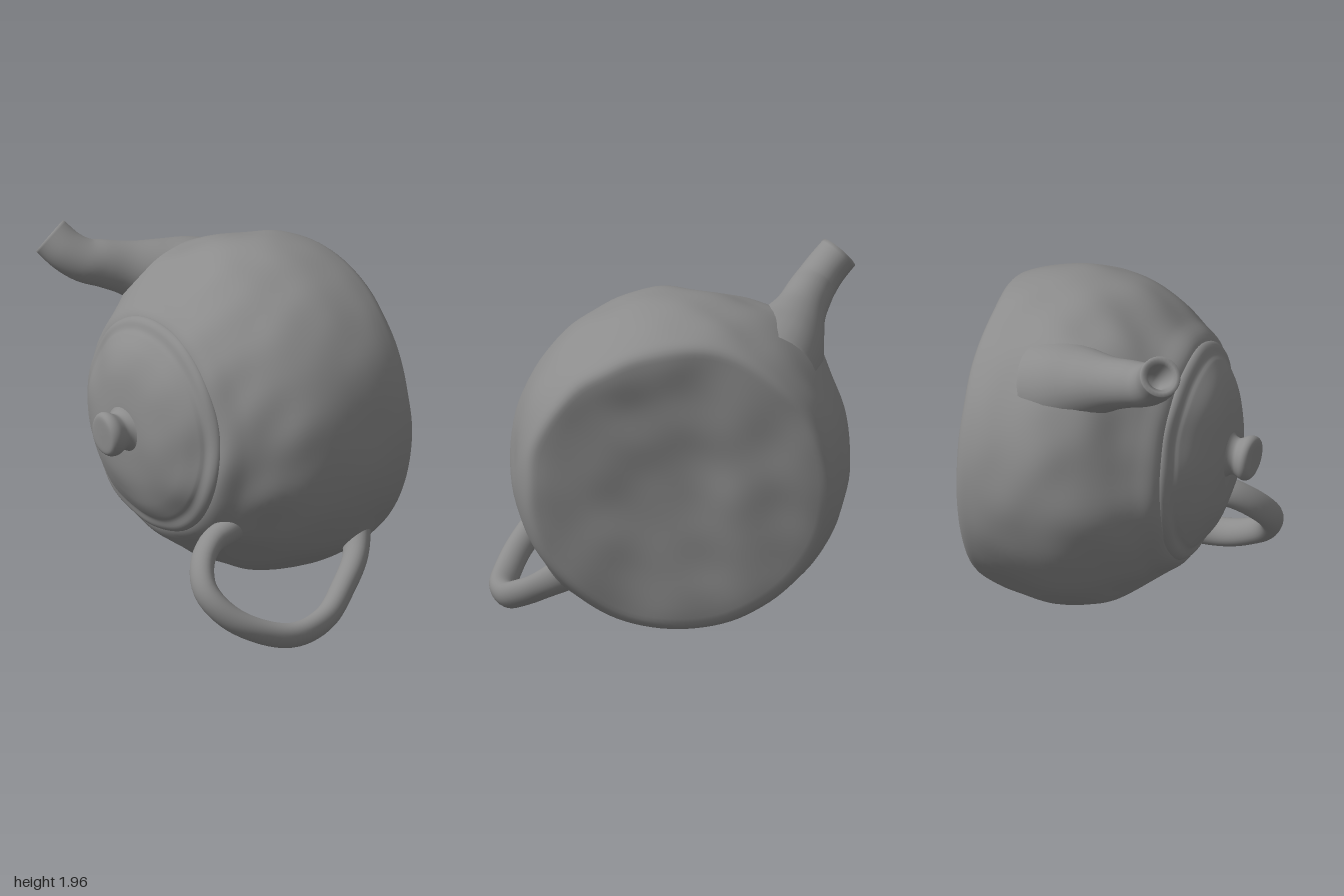
import * as THREE from 'three';
import { mergeVertices } from 'three/addons/utils/BufferGeometryUtils.js';

const clay = new THREE.MeshStandardMaterial({ color: 0x8c8c8c, side: THREE.DoubleSide });

// Gentle hand-made unevenness: seeded waves running in many directions
let seed = 7;
const random = () => (seed = (seed * 16807) % 2147483647) / 2147483647;
const waves = Array.from({ length: 36 }, (_, i) => {
  const direction = new THREE.Vector3(random() - 0.5, random() - 0.5, random() - 0.5);
  return { direction: direction.setLength(6 + i * 0.6), phase: random() * 6.28, size: 1.6 / (6 + i * 0.6) };
});
const lumps = (v) => waves.reduce((s, w) => s + w.size * Math.sin(w.direction.dot(v) + w.phase), 0);

const v2 = (list) => list.map(([r, h]) => new THREE.Vector2(r, h));
const v3 = (list) => list.map((p) => new THREE.Vector3(...p));

// Places where the body swells to meet spout and handle: point, height, reach
const joints = [
  [new THREE.Vector3(-0.62, 1.62, 0), 0.055, 0.24],
  [new THREE.Vector3(0.5, 0.53, 0.3), 0.02, 0.1],
  [new THREE.Vector3(0.63, 0.38, -0.47), 0.02, 0.1],
];

// Weld seams, apply a vertex rule, then smooth
function finish(geometry, name, rule) {
  geometry.deleteAttribute('uv');
  geometry.deleteAttribute('normal');
  const g = mergeVertices(geometry, 1e-4);
  const p = g.attributes.position;
  const v = new THREE.Vector3();
  for (let i = 0; i < p.count; i++) {
    rule(v.fromBufferAttribute(p, i));
    p.setXYZ(i, v.x, v.y, v.z);
  }
  g.computeVertexNormals();
  const mesh = new THREE.Mesh(g, clay);
  mesh.name = name;
  return mesh;
}

// Turned part around the z axis, with a slightly leaning centre line
function turned(name, profile, steps, amount, swellings = []) {
  const points = new THREE.SplineCurve(v2(profile)).getSpacedPoints(steps);
  points.forEach((p) => { p.x = Math.max(0, p.x); });
  const g = new THREE.LatheGeometry(points, 112);
  g.rotateX(Math.PI / 2);
  return finish(g, name, (v) => {
    const k = lumps(v) * amount;
    const outward = new THREE.Vector3(v.x, v.y, 0).normalize();
    v.x *= 1 + k;
    v.y *= 1 + k;
    v.z += k;
    v.x += -0.025 - 0.03 * (v.z + 0.4);
    v.y += 1.02 + 0.02 * (v.z + 0.4);
    for (const [centre, height, reach] of swellings) {
      const d = v.distanceTo(centre) / reach;
      v.addScaledVector(outward, height * Math.exp(-d * d));
    }
  });
}

// Round sweep along a path; a bore depth hollows out the far end
function sweep(name, path, radii, bore, rule) {
  const steps = 56, sides = 28;
  const curve = new THREE.CatmullRomCurve3(v3(path));
  const frames = curve.computeFrenetFrames(steps);
  const radiusAt = new THREE.SplineCurve(radii.map((r, i) => new THREE.Vector2(i, r)));
  const rings = [];
  for (let i = 0; i <= steps; i++) rings.push([i, radiusAt.getPoint(i / steps).y]);
  if (bore) {
    const r = radii[radii.length - 1];
    rings.push([steps, r * 0.8], [steps - 1, r * 0.62], [steps - bore, r * 0.45], [steps - bore, 0]);
  }
  const position = [], index = [];
  rings.forEach(([i, r], k) => {
    const c = curve.getPointAt(i / steps);
    for (let j = 0; j < sides; j++) {
      const a = (j / sides) * Math.PI * 2;
      const p = c.clone()
        .addScaledVector(frames.normals[i], Math.cos(a) * r)
        .addScaledVector(frames.binormals[i], Math.sin(a) * r);
      position.push(p.x, p.y, p.z);
      if (k === 0) continue;
      const n = (j + 1) % sides, low = (k - 1) * sides, up = k * sides;
      index.push(low + j, low + n, up + j, low + n, up + n, up + j);
    }
  });
  const g = new THREE.BufferGeometry();
  g.setAttribute('position', new THREE.Float32BufferAttribute(position, 3));
  g.setIndex(index);
  return finish(g, name, (v) => {
    rule(v);
    v.addScalar(lumps(v) * 0.005);
  });
}

export function createModel() {
  const model = new THREE.Group();
  model.name = 'teapot';

  // Pot body with its broad base facing -z
  model.add(turned('body', [
    [0, -0.69], [0.25, -0.69], [0.5, -0.692], [0.74, -0.698], [0.815, -0.68],
    [0.858, -0.6], [0.89, -0.48], [0.915, -0.3], [0.908, -0.15], [0.87, 0], [0.803, 0.13],
    [0.698, 0.28], [0.595, 0.395], [0.4, 0.405], [0, 0.405],
  ], 120, 0.013, joints));

  // Domed lid with a soft rim band
  model.add(turned('lid', [
    [0.56, 0.36], [0.59, 0.385], [0.588, 0.41], [0.568, 0.43], [0.54, 0.44],
    [0.52, 0.45], [0.5, 0.472], [0.42, 0.525], [0.3, 0.572], [0.16, 0.597], [0, 0.605],
  ], 60, 0.012));

  // Knob on a thick neck
  model.add(turned('knob', [
    [0.15, 0.58], [0.115, 0.605], [0.1, 0.635], [0.108, 0.66], [0.12, 0.685],
    [0.123, 0.705], [0.115, 0.727], [0.09, 0.74], [0, 0.744],
  ], 30, 0.02));

  // Spout, flared into the body, turning outward to a hollow mouth
  model.add(sweep('spout', [
    [-0.52, 1.53, -0.26], [-0.59, 1.6, -0.08], [-0.655, 1.665, 0.1],
    [-0.715, 1.715, 0.26], [-0.755, 1.745, 0.36], [-0.81, 1.797, 0.435], [-0.89, 1.873, 0.493],
  ], [0.26, 0.24, 0.19, 0.145, 0.126, 0.116, 0.112], 10, () => {}));

  // Loop handle opposite the spout, broader across than it is thick
  model.add(sweep('handle', [
    [0.43, 0.585, 0.14], [0.465, 0.555, 0.3], [0.495, 0.53, 0.42], [0.565, 0.45, 0.53],
    [0.675, 0.335, 0.58], [0.81, 0.19, 0.48], [0.915, 0.08, 0.2], [0.885, 0.112, -0.05],
    [0.79, 0.225, -0.24], [0.68, 0.335, -0.4], [0.53, 0.475, -0.5],
  ], [0.085, 0.07, 0.064, 0.062, 0.062, 0.063, 0.065, 0.064, 0.065, 0.068, 0.085], 0, (v) => {
    const across = (v.x + v.y - 1.005) * 0.12;
    v.x += across;
    v.y += across;
  }));

  return model;
}
